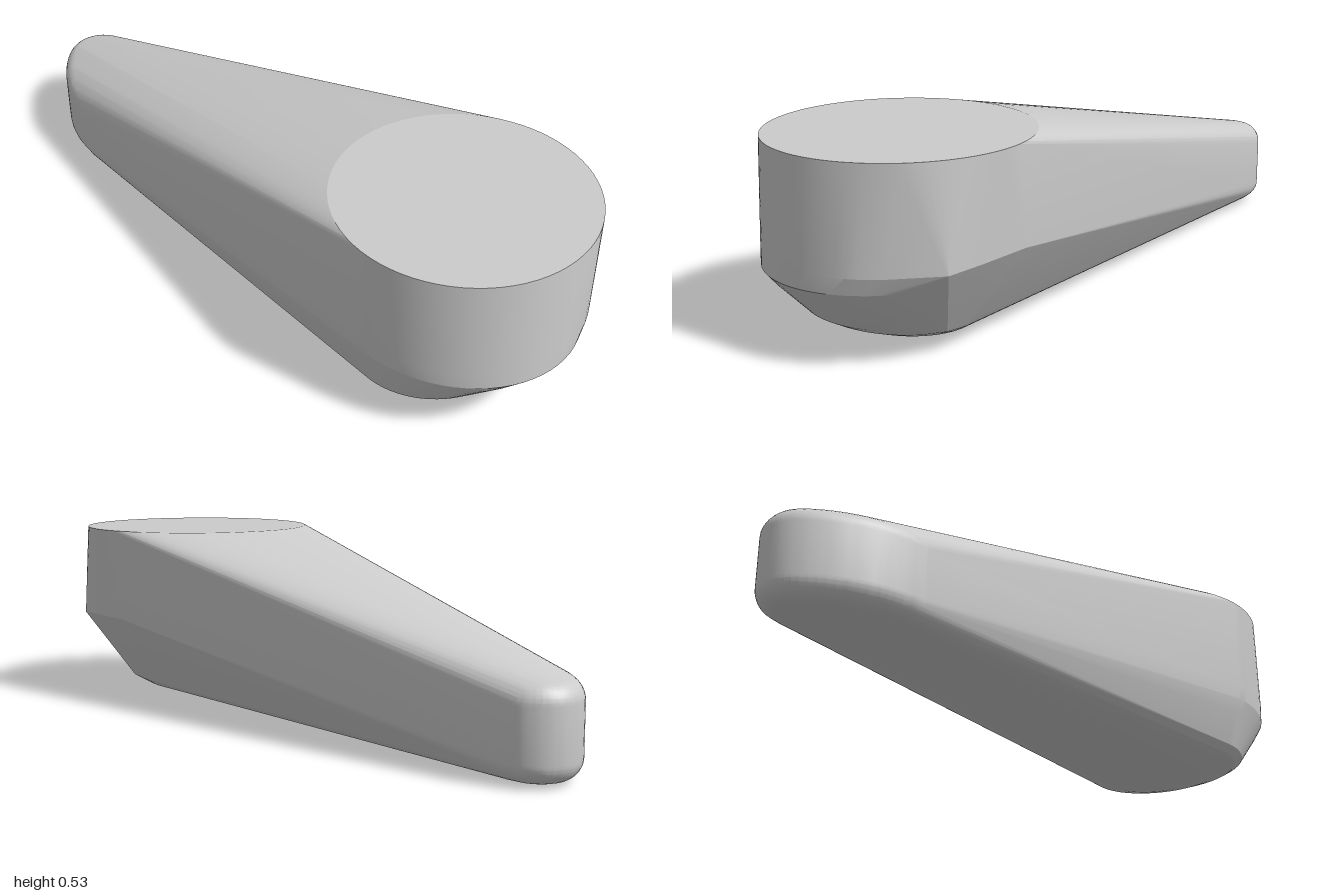
import * as THREE from 'three';
import { ConvexGeometry } from 'three/addons/geometries/ConvexGeometry.js';
import { toCreasedNormals } from 'three/addons/utils/BufferGeometryUtils.js';

// Elliptical cross-section of the head: height, x extent, centre z, half depth
function headRing(y, xMin, xMax, cz, rz, n = 72) {
  const pts = [];
  const cx = (xMin + xMax) / 2, rx = (xMax - xMin) / 2;
  for (let i = 0; i < n; i++) {
    const a = (i / n) * Math.PI * 2;
    pts.push(new THREE.Vector3(cx + rx * Math.cos(a), y, cz + rz * Math.sin(a)));
  }
  return pts;
}

// Lopsided tail outline with rounded upper and lower edges
function tailPoints() {
  const outline = new THREE.SplineCurve([
    [0.112, -0.88], [0.1, -0.935], [0.06, -0.982], [0, -1], [-0.06, -0.982],
    [-0.12, -0.925], [-0.17, -0.85], [-0.2, -0.775], [-0.216, -0.69],
  ].map(([x, z]) => new THREE.Vector2(x, z)));
  const pts = [], r = 0.055, steps = 8, n = 32;
  for (let i = 0; i <= n; i++) {
    const p = outline.getPoint(i / n), t = outline.getTangent(i / n);
    for (let k = 0; k <= steps; k++) {
      const a = (k / steps) * Math.PI / 2;
      const inset = r * (1 - Math.cos(a)), rise = r * Math.sin(a);
      const x = p.x + t.y * inset, z = p.y - t.x * inset;
      pts.push(new THREE.Vector3(x, 0.2 + rise, z));
      pts.push(new THREE.Vector3(x, 0.062 - rise, z));
    }
  }
  return pts;
}

export function createModel() {
  const group = new THREE.Group();
  group.name = 'taperedHandle';

  // Flat round top, then rings closing down to a gently bowed underside
  const points = [
    ...headRing(0.53, -0.347, 0.347, 0.64, 0.347),
    ...headRing(0.25, -0.347, 0.325, 0.64, 0.359),
    ...headRing(0.205, -0.343, 0.297, 0.64, 0.358),
    ...headRing(0.165, -0.331, 0.27, 0.635, 0.325),
    ...headRing(0.065, -0.3, 0.212, 0.62, 0.235),
    ...headRing(0.045, -0.28, 0.198, 0.62, 0.2),
    ...headRing(0.027, -0.235, 0.17, 0.61, 0.165),
    ...headRing(0.012, -0.165, 0.115, 0.6, 0.12),
    ...headRing(0.003, -0.07, 0.04, 0.55, 0.12),
    new THREE.Vector3(-0.02, 0, 0.55),
    // Corners of the chamfer on one side of the head
    new THREE.Vector3(0.333, 0.26, 0.55),
    new THREE.Vector3(0.333, 0.26, 0.7),
    new THREE.Vector3(0.318, 0.255, 0.81),
    new THREE.Vector3(0.205, 0.055, 0.7),
    ...tailPoints(),
  ];

  const geometry = toCreasedNormals(new ConvexGeometry(points), 0.2);
  const body = new THREE.Mesh(geometry, new THREE.MeshStandardMaterial({ color: 0xcccccc }));
  body.name = 'body';
  group.add(body);
  return group;
}
